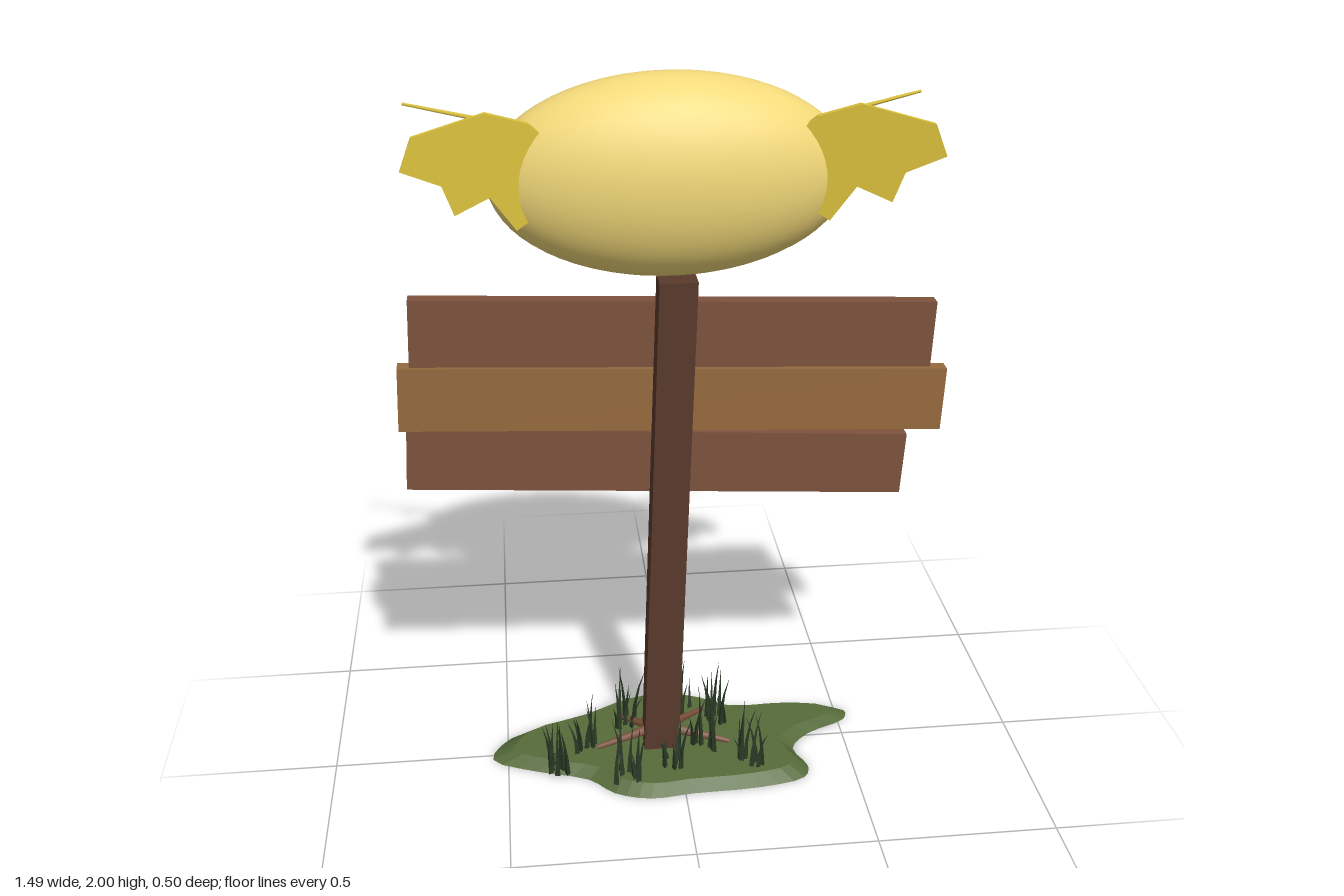
import * as THREE from 'three';

const mat = (color, extra = {}) => new THREE.MeshStandardMaterial({ color, ...extra });
const V = (x, y, z) => new THREE.Vector3(x, y, z);

export function createModel() {
  const model = new THREE.Group();
  const yellow = mat(0xf2d879), gold = mat(0xdcc23c), postWood = mat(0x5a3a2c);
  const redWood = mat(0x7d523c), tanWood = mat(0x956a3e), moss = mat(0x566b3a);
  const bladeMat = mat(0x2b3a26, { side: THREE.DoubleSide, flatShading: true });
  const iron = mat(0x2a2422);

  const add = (name, geometry, material, parent = model) => {
    const mesh = new THREE.Mesh(geometry, material);
    mesh.name = name;
    parent.add(mesh);
    return mesh;
  };

  // Tapered rod between two points
  const rod = (name, a, b, r0, r1, material, parent = model) => {
    const d = b.clone().sub(a);
    const mesh = add(name, new THREE.CylinderGeometry(r1, r0, d.length(), 6), material, parent);
    mesh.position.copy(a).addScaledVector(d, 0.5);
    mesh.quaternion.setFromUnitVectors(V(0, 1, 0), d.normalize());
    return mesh;
  };

  // Ground patch: irregular outline with sloping rim
  const outline = [[-0.545, 0.02], [-0.49, -0.08], [-0.3, -0.155], [-0.14, -0.235], [-0.01, -0.25],
    [0.1, -0.215], [0.2, -0.155], [0.4, -0.15], [0.53, -0.115], [0.52, -0.07], [0.4, -0.01],
    [0.34, 0.06], [0.37, 0.15], [0.35, 0.2], [0.22, 0.232], [0.02, 0.24], [-0.1, 0.25],
    [-0.2, 0.215], [-0.27, 0.145], [-0.42, 0.09]];
  const curve = new THREE.CatmullRomCurve3(outline.map(([x, z]) => V(x, -z, 0)), true);
  const patch = new THREE.Shape(curve.getPoints(60).slice(0, 60).map(p => new THREE.Vector2(p.x, p.y)));
  const groundGeo = new THREE.ExtrudeGeometry(patch, { depth: 0.03, bevelEnabled: false });
  const gp = groundGeo.attributes.position;
  for (let i = 0; i < gp.count; i++) {
    if (gp.getZ(i) > 0.02) gp.setXY(i, gp.getX(i) * 0.88, gp.getY(i) * 0.88);
  }
  groundGeo.rotateX(-Math.PI / 2);
  groundGeo.computeVertexNormals();
  add('ground', groundGeo, moss);

  // Leaning square post: a sheared box
  const postGeo = new THREE.BoxGeometry(0.1, 1.46, 0.085);
  postGeo.translate(0, 0.75, 0);
  const pp = postGeo.attributes.position;
  for (let i = 0; i < pp.count; i++) {
    const t = pp.getY(i) / 1.48;
    pp.setX(i, pp.getX(i) - 0.052 + 0.049 * t);
    pp.setZ(i, pp.getZ(i) + 0.017 + 0.026 * t);
  }
  postGeo.computeVertexNormals();
  add('post', postGeo, postWood);

  // Roots spreading from the foot of the post
  for (const [x, z] of [[-0.24, 0.04], [0.15, 0.05], [-0.16, -0.11], [0.09, -0.12]]) {
    rod('root', V(-0.05 + x * 0.1, 0.075, 0.015), V(x, 0.035, z), 0.016, 0.007, redWood);
  }

  // Sign boards with a pair of nails on the back: x, y, z, length, height, tilt
  const boards = [
    ['topBoard', 0, 1.3, -0.041, 1.4, 0.185, -0.042, redWood],
    ['middleBoard', 0, 1.113, -0.038, 1.48, 0.18, -0.044, tanWood],
    ['bottomBoard', -0.045, 0.928, -0.043, 1.37, 0.18, -0.061, redWood],
  ];
  for (const [name, x, y, z, length, height, tilt, material] of boards) {
    const board = new THREE.Group();
    board.name = name;
    board.position.set(x, y, z);
    board.rotation.z = tilt;
    model.add(board);
    add('plank', new THREE.BoxGeometry(length, height, 0.042), material, board);
    for (const side of [-1, 1]) {
      const nail = add('nail', new THREE.SphereGeometry(0.011, 10, 8), iron, board);
      nail.position.set(side * 0.08 - x - 0.01, 0, -0.021);
    }
  }

  // Egg-shaped body balanced on the post
  const body = add('body', new THREE.SphereGeometry(1, 48, 32), yellow);
  body.scale.set(0.462, 0.26, 0.175);
  body.position.set(-0.017, 1.74, 0.004);

  // Scalloped wing plate, swept forward
  const wingShape = new THREE.Shape([[0.32, 1.87], [0.355, 1.9], [0.455, 1.933], [0.63, 1.89], [0.66, 1.812],
    [0.565, 1.768], [0.538, 1.692], [0.452, 1.728], [0.39, 1.638], [0.34, 1.67], [0.32, 1.75]]
    .map(p => new THREE.Vector2(...p)));
  const wing = side => {
    const g = new THREE.ExtrudeGeometry(wingShape, { depth: 0.018, bevelEnabled: false });
    const p = g.attributes.position;
    for (let i = 0; i < p.count; i++) p.setZ(i, p.getZ(i) + 0.068 + (p.getX(i) - 0.32) * 0.26);
    if (side < 0) {
      // Mirror, then swap two corners of each triangle
      for (let i = 0; i < p.count; i++) p.setX(i, -p.getX(i));
      for (let i = 0; i < p.count; i += 3) {
        const a = V().fromBufferAttribute(p, i), b = V().fromBufferAttribute(p, i + 1);
        p.setXYZ(i, b.x, b.y, b.z);
        p.setXYZ(i + 1, a.x, a.y, a.z);
      }
    }
    g.computeVertexNormals();
    return g;
  };

  // Wings and thin twig feet, mirrored about the body's middle
  for (const side of [1, -1]) {
    const half = new THREE.Group();
    half.name = side > 0 ? 'leftSide' : 'rightSide';
    half.position.x = -0.016;
    model.add(half);
    add('wing', wing(side), gold, half);
    const P = (x, y, z) => V(side * x, y, z);
    const heel = P(0.43, 1.868, -0.06);
    rod('leg', P(0.37, 1.85, -0.035), heel, 0.011, 0.008, gold, half);
    rod('longToe', heel, P(0.66, 1.908, -0.113), 0.007, 0.004, gold, half);
    rod('middleToe', heel, P(0.56, 1.80, -0.098), 0.007, 0.004, gold, half);
    rod('shortToe', heel, P(0.44, 1.79, -0.09), 0.007, 0.004, gold, half);
    rod('spur', P(0.385, 1.69, -0.07), P(0.395, 1.645, -0.08), 0.008, 0.004, gold, half);
  }

  // Grass tufts: bent three-sided blades
  let seed = 7;
  const rand = () => (seed = (seed * 16807) % 2147483647) / 2147483647;
  const tufts = [[-0.36, 0.12], [-0.28, 0.03], [-0.16, 0.18], [-0.14, -0.08], [-0.02, 0.13],
    [0.02, -0.12], [0.07, 0.06], [0.13, -0.06], [0.2, 0.15]];
  for (const [x, z] of tufts) {
    const tuft = new THREE.Group();
    tuft.name = 'grassTuft';
    tuft.position.set(x, 0.025, z);
    model.add(tuft);
    for (let k = 0; k < 9; k++) {
      const h = 0.08 + 0.13 * rand(), angle = rand() * Math.PI * 2, lean = 0.01 + 0.03 * rand();
      const g = new THREE.ConeGeometry(0.009, h, 3, 3);
      g.translate(0, h / 2, 0);
      const p = g.attributes.position;
      for (let i = 0; i < p.count; i++) p.setX(i, p.getX(i) + lean * (p.getY(i) / h) ** 2);
      const blade = add('blade', g, bladeMat, tuft);
      blade.rotation.y = angle;
      blade.position.set((rand() - 0.5) * 0.07, 0, (rand() - 0.5) * 0.06);
    }
  }
  return model;
}
